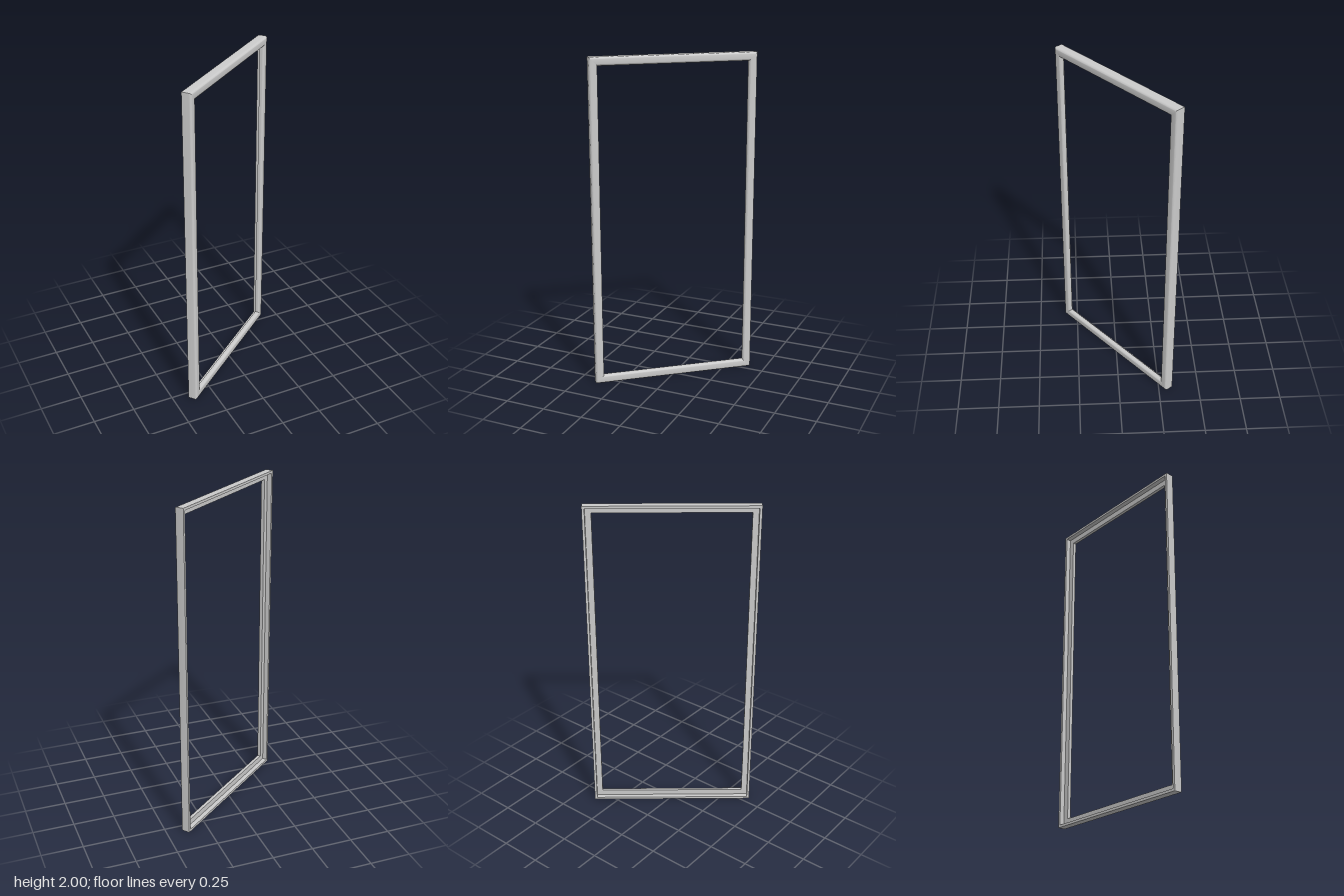
import * as THREE from 'three';
import { toCreasedNormals } from 'three/addons/utils/BufferGeometryUtils.js';

const HALF_W = 0.5, HEIGHT = 2, HALF_D = 0.028, BAR = 0.05, LIP = 0.015, R = 0.012;

// Bar cross-section: [distance inward from the outer edge, depth towards the front]
function barProfile() {
  const points = [[0, -HALF_D], [LIP, -HALF_D], [LIP, 0.001], [BAR, 0.001]];
  // rounded front edges, inner then outer
  for (const [cx, start] of [[BAR - R, 0], [R, Math.PI / 2]]) {
    for (let i = 0; i <= 4; i++) {
      const a = start + (i / 4) * Math.PI / 2;
      points.push([cx + R * Math.cos(a), HALF_D - R + R * Math.sin(a)]);
    }
  }
  return points;
}

// One mitred bar between two neighbouring corners of the rectangle
function barGeometry(profile, cornerA, cornerB) {
  const at = ([sx, sy], [w, n]) =>
    [sx * (HALF_W - w), HEIGHT / 2 + sy * (HEIGHT / 2 - w), n];
  const positions = [];
  profile.forEach((p, i) => {
    const q = profile[(i + 1) % profile.length];
    const a = at(cornerA, p), b = at(cornerA, q), c = at(cornerB, q), d = at(cornerB, p);
    positions.push(...a, ...b, ...c, ...a, ...c, ...d);
  });
  const geometry = new THREE.BufferGeometry();
  geometry.setAttribute('position', new THREE.Float32BufferAttribute(positions, 3));
  return toCreasedNormals(geometry, 0.6);
}

export function createModel() {
  const model = new THREE.Group();
  model.name = 'rectangularFrame';
  const material = new THREE.MeshStandardMaterial({ color: 0xcccccc });
  const profile = barProfile();

  // Four rebated bars, in order around the opening
  const corners = [[-1, -1], [1, -1], [1, 1], [-1, 1]];
  ['bottomRail', 'leftStile', 'topRail', 'rightStile'].forEach((name, i) => {
    const bar = new THREE.Mesh(barGeometry(profile, corners[i], corners[(i + 1) % 4]), material);
    bar.name = name;
    model.add(bar);
  });

  // The frame stands turned about the vertical
  model.rotation.y = 0.679;
  return model;
}
